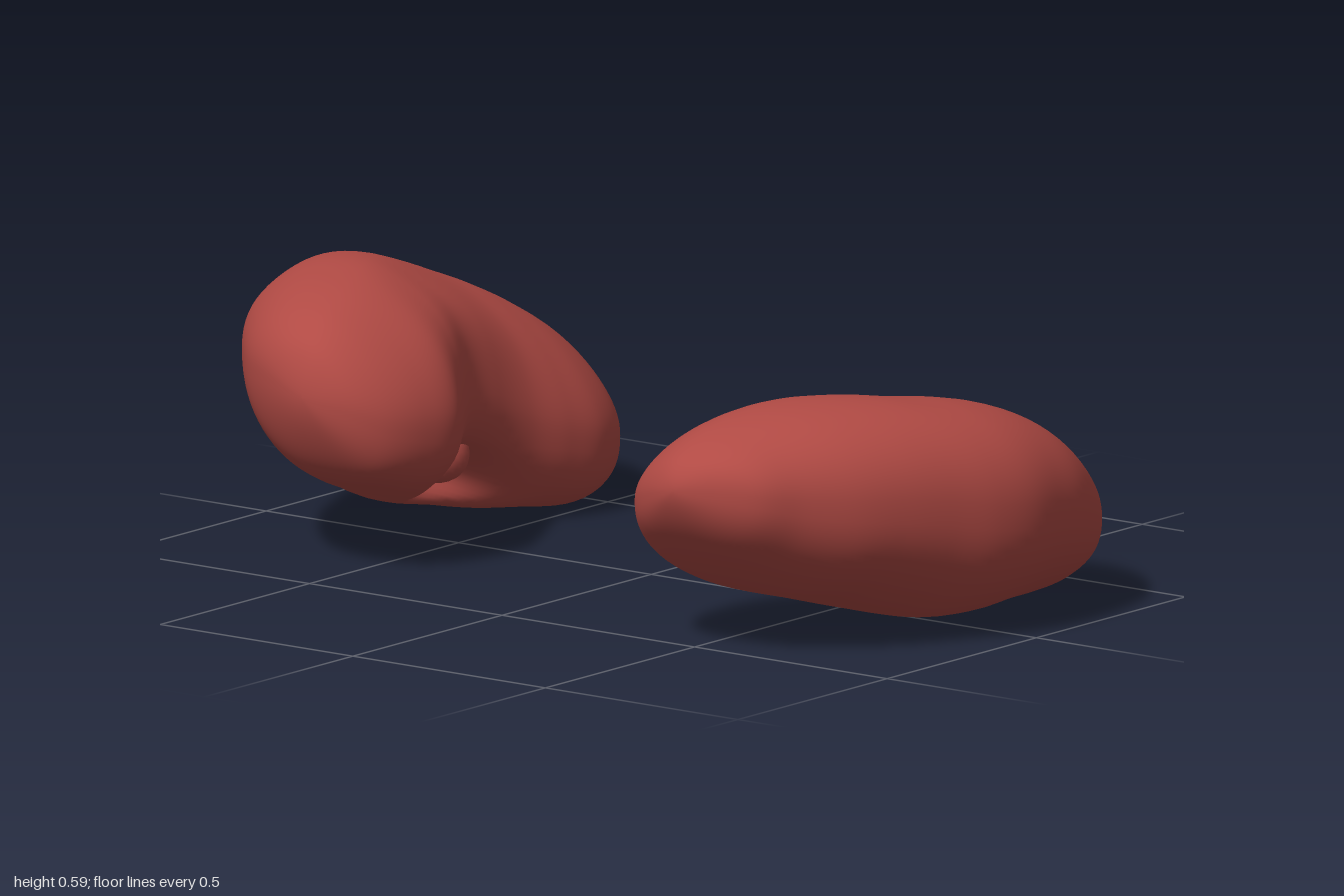
import * as THREE from 'three';
import { mergeVertices } from 'three/addons/utils/BufferGeometryUtils.js';

// Cross-sections from front to back: z, inner |x|, outer |x|, bottom y, top y
const leftSections = [
  [0.65, 0.56, 0.56, 0.36, 0.36], [0.63, 0.485, 0.64, 0.3, 0.41], [0.58, 0.408, 0.73, 0.235, 0.445],
  [0.5, 0.357, 0.79, 0.165, 0.475], [0.4, 0.332, 0.86, 0.11, 0.497], [0.3, 0.34, 0.91, 0.08, 0.505],
  [0.2, 0.39, 0.95, 0.05, 0.5], [0.1, 0.445, 0.985, 0.025, 0.485], [0, 0.465, 1, 0.02, 0.47],
  [-0.1, 0.485, 0.99, 0.025, 0.447], [-0.2, 0.48, 0.97, 0.022, 0.41], [-0.3, 0.49, 0.925, 0.02, 0.355],
  [-0.4, 0.53, 0.86, 0.035, 0.28], [-0.46, 0.58, 0.78, 0.08, 0.22], [-0.49, 0.68, 0.68, 0.15, 0.15],
];
const rightSections = [
  [0.475, 0.54, 0.54, 0.38, 0.38], [0.45, 0.45, 0.645, 0.29, 0.47], [0.39, 0.385, 0.745, 0.205, 0.525],
  [0.3, 0.35, 0.83, 0.16, 0.56], [0.2, 0.345, 0.9, 0.125, 0.58], [0.1, 0.4, 0.94, 0.09, 0.588],
  [0, 0.455, 0.975, 0.06, 0.577], [-0.1, 0.465, 0.995, 0.04, 0.547], [-0.2, 0.46, 1, 0.02, 0.51],
  [-0.3, 0.44, 1, 0.01, 0.47], [-0.4, 0.433, 0.985, 0, 0.42], [-0.5, 0.47, 0.95, 0.015, 0.36],
  [-0.58, 0.54, 0.88, 0.05, 0.28], [-0.63, 0.615, 0.8, 0.095, 0.215], [-0.65, 0.7, 0.7, 0.155, 0.155],
];

const softPower = (v, p) => Math.sign(v) * Math.abs(v) ** p;

// Lofted bean body with a hollow (hilum) on its lower inner side;
// lean moves the crown outward and the base inward, lift raises the outer edge
function kidneyGeometry(sections, side, { hilumZ, lean, lift }) {
  // Swapped limits beyond each tip make the ends close in a round dome
  const flip = ([z, a, b, c, d]) => [z, b, a, d, c];
  const n = sections.length;
  const all = [flip(sections[1]), ...sections, flip(sections[n - 2])];
  const spline = (pick) => new THREE.CatmullRomCurve3(
    all.map((s) => new THREE.Vector3(...pick(s))), false, 'catmullrom', 0.5);
  const widths = spline((s) => [s[1], s[2], s[0]]);
  const heights = spline((s) => [s[3], s[4], s[0]]);

  const rings = 112, segments = 72, positions = [], index = [];
  for (let i = 0; i <= rings; i++) {
    const t = (1 + (i / rings) * (n - 1)) / (n + 1);
    const w = widths.getPoint(t), h = heights.getPoint(t), z = w.z;
    const rx = (w.y - w.x) / 2, ry = (h.y - h.x) / 2;
    const bump = (angle, at, reach, spread) =>
      Math.exp(-(((z - hilumZ) / reach) ** 2) - ((angle - at) / spread) ** 2);
    for (let j = 0; j < segments; j++) {
      const angle = (j / segments) * Math.PI * 2;
      const u = softPower(Math.cos(angle), 0.87), v = softPower(Math.sin(angle), 0.87);
      const inner = Math.max(0, -u) ** 2, outer = Math.max(0, u) ** 2;
      // Inner side slopes down from the crown to a low edge
      const slope = v * (1 - (v > 0 ? 0.22 * inner : 0)) - 0.28 * inner + lift * outer * (1 - Math.max(0, v));
      // Full shoulder above the hollow, hollow below it
      const shoulder = bump(angle, 2.4, 0.2, 0.4), dent = bump(angle, 3.8, 0.15, 0.42);
      const x = (w.x + w.y) / 2 + rx * (u + lean * v * (1 - u * u)) - 0.02 * shoulder + 0.17 * dent;
      const y = (h.x + h.y) / 2 + ry * slope + 0.035 * shoulder + 0.06 * dent;
      positions.push(side * x, y, z);
      if (i === rings) continue;
      const a = i * segments + j, b = i * segments + ((j + 1) % segments);
      const c = a + segments, d = b + segments;
      if (side > 0) index.push(a, c, b, b, c, d);
      else index.push(a, b, c, b, d, c);
    }
  }
  const geometry = new THREE.BufferGeometry();
  geometry.setAttribute('position', new THREE.Float32BufferAttribute(positions, 3));
  geometry.setIndex(index);
  const merged = mergeVertices(geometry, 1e-5);
  merged.computeVertexNormals();
  return merged;
}

export function createModel() {
  const model = new THREE.Group();
  const material = new THREE.MeshStandardMaterial({ color: 0xb04a44 });

  const addKidney = (name, sections, side, shape, stubY) => {
    const kidney = new THREE.Group();
    kidney.name = name;
    const body = new THREE.Mesh(kidneyGeometry(sections, side, shape), material);
    body.name = 'kidneyBody';
    // Rounded vessel stub sitting in the hollow
    const stub = new THREE.Mesh(new THREE.SphereGeometry(0.08, 32, 20), material);
    stub.name = 'vesselStub';
    stub.scale.set(1.25, 0.9, 0.95);
    stub.rotation.z = side * 0.4;
    stub.position.set(side * 0.6, stubY, shape.hilumZ);
    kidney.add(body, stub);
    model.add(kidney);
  };
  addKidney('leftKidney', leftSections, 1, { hilumZ: 0.08, lean: 0.04, lift: 0.05 }, 0.15);
  addKidney('rightKidney', rightSections, -1, { hilumZ: -0.02, lean: 0.1, lift: 0.25 }, 0.19);
  return model;
}
